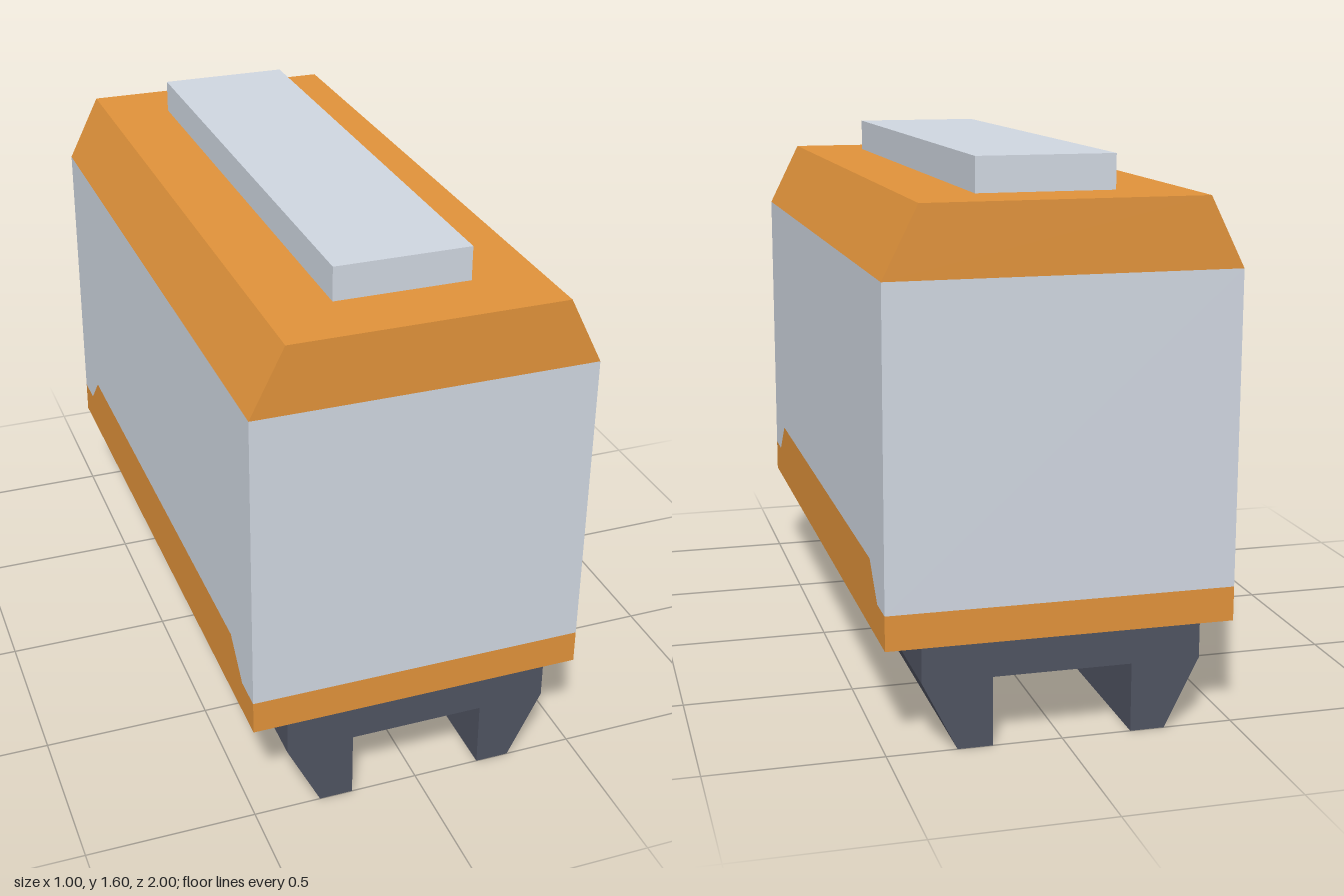
import * as THREE from 'three';

const material = (name, color) => {
  const m = new THREE.MeshStandardMaterial({ color });
  m.name = name;
  return m;
};

// Extrudes the right half of a symmetric profile, mirrored, centred along z
function mirroredPrism(name, half, depth, mat) {
  const left = half.map(([x, y]) => [-x, y]).reverse();
  const points = [...half, ...left].map(([x, y]) => new THREE.Vector2(x, y));
  const geometry = new THREE.ExtrudeGeometry(new THREE.Shape(points), { depth, bevelEnabled: false });
  geometry.translate(0, 0, -depth / 2);
  const mesh = new THREE.Mesh(geometry, mat);
  mesh.name = name;
  return mesh;
}

export function createModel() {
  const orange = material('orange paint', 0xe0923a);
  const grey = material('light grey paint', 0xcfd6e0);
  const dark = material('dark chassis', 0x4f5361);
  const model = new THREE.Group();
  model.name = 'railCar';

  // Underframe with two tapered running rails
  model.add(mirroredPrism('underframe',
    [[0.2, 0.2], [0.2, 0], [0.3, 0], [0.4, 0.2], [0.4, 0.3]], 2, dark));

  // Lower skirt and body, meeting along the raised side band; profiles run lengthwise
  const skirt = mirroredPrism('skirt',
    [[1, 0.3], [1, 0.4], [0.9, 0.4], [0.8, 0.5]], 1, orange);
  const body = mirroredPrism('body',
    [[0.8, 0.5], [0.9, 0.4], [1, 0.4], [1, 1.3]], 1, grey);
  for (const part of [skirt, body]) {
    part.geometry.rotateY(Math.PI / 2);
    model.add(part);
  }

  // Roof with sloped sides
  model.add(mirroredPrism('roof', [[0.5, 1.3], [0.4, 1.5]], 2, orange));

  // Raised roof unit
  const roofUnit = new THREE.Mesh(new THREE.BoxGeometry(0.4, 0.1, 1.6), grey);
  roofUnit.name = 'roofUnit';
  roofUnit.position.y = 1.55;
  model.add(roofUnit);

  return model;
}
